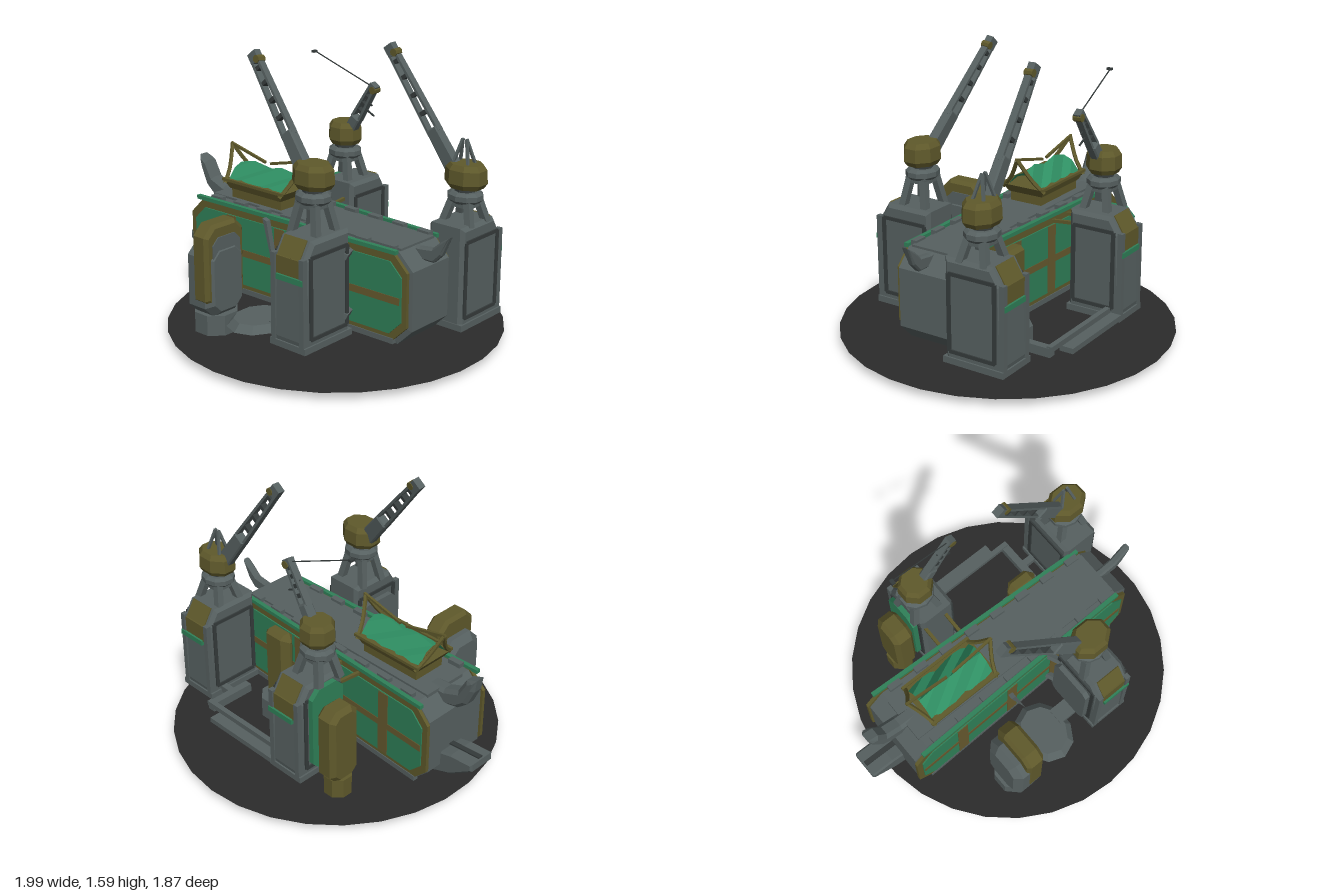
import * as THREE from 'three';

const mat = (name, color) => Object.assign(new THREE.MeshStandardMaterial({ color }), { name });
const gray = mat('hull gray', 0x566060);
const dark = mat('dark trim', 0x353b3b);
const green = mat('panel green', 0x2f8058);
const olive = mat('olive paint', 0x5f592b);
const brown = mat('brown stripe', 0x66592e);
const ground = mat('ground black', 0x2b2b2b);
const tarp = mat('tarp green', 0x2f8f63);
tarp.side = THREE.DoubleSide;
const UP = new THREE.Vector3(0, 1, 0);
const V = (a) => new THREE.Vector3(...a);

function add(parent, name, geo, material, pos = [0, 0, 0]) {
  const g = geo.index ? geo.toNonIndexed() : geo; // faceted shading
  g.computeVertexNormals();
  const m = new THREE.Mesh(g, material);
  m.name = name;
  m.position.set(...pos);
  parent.add(m);
  return m;
}
const box = (p, name, size, pos, m) => add(p, name, new THREE.BoxGeometry(...size), m, pos);

// Flat outline extruded along z, centred, with an optional bevel
function prism(points, depth, b = 0) {
  const s = new THREE.Shape(points.map((q) => new THREE.Vector2(...q)));
  const g = new THREE.ExtrudeGeometry(s, {
    depth: depth - 2 * b, bevelEnabled: b > 0, bevelSize: b, bevelThickness: b, bevelOffset: -b, bevelSegments: 1,
  });
  return g.translate(0, 0, -depth / 2 + b);
}
// Rectangle with cut corners
const octagon = (x0, x1, y0, y1, c) => [[x0 + c, y0], [x1 - c, y0], [x1, y0 + c], [x1, y1 - c],
  [x1 - c, y1], [x0 + c, y1], [x0, y1 - c], [x0, y0 + c]];

function beam(p, name, a, b, w, d, m) {
  const A = V(a), B = V(b), dir = B.clone().sub(A);
  const mesh = box(p, name, [w, dir.length(), d], A.clone().add(B).multiplyScalar(0.5).toArray(), m);
  mesh.quaternion.setFromUnitVectors(UP, dir.normalize());
  return mesh;
}
const lathe = (pts, n) => new THREE.LatheGeometry(pts.map((q) => new THREE.Vector2(...q)), n);

// Crane jib: solid root, open ladder of rails and rungs, pulley at the tip
function jib(parent, a, b, w) {
  const g = new THREE.Group(), dir = V(b).sub(V(a)), L = dir.length();
  g.name = 'craneArm';
  g.position.set(...a);
  g.quaternion.setFromUnitVectors(UP, dir.normalize());
  const half = (t) => w * (0.5 - 0.22 * t);
  add(g, 'armRoot', prism([[-half(0), -0.05], [half(0), -0.05], [half(0.3), L * 0.32], [-half(0.3), L * 0.32]], 0.055, 0.008), gray);
  for (const s of [-1, 1]) beam(g, 'armRail', [s * half(0.3) * 0.85, L * 0.28, 0], [s * half(1) * 0.8, L, 0], 0.015, 0.04, gray);
  for (const t of [0.45, 0.6, 0.75, 0.88]) box(g, 'armRung', [half(t) * 1.7, 0.022, 0.036], [0, L * t, 0], dark);
  box(g, 'armTip', [w * 0.65, L * 0.09, 0.042], [0, L * 0.97, 0], gray);
  add(g, 'pulley', new THREE.CylinderGeometry(0.022, 0.022, 0.05, 8).rotateX(Math.PI / 2), olive, [w * 0.2, L * 0.94, 0]);
  parent.add(g);
}

// Tower with cut outer shoulder, splayed legs, turntable, cab and jib; s is the outward z side
function tower(root, { x, w, z0, z1, top, cab, cabY, s, tip, armBase, armW }) {
  const g = new THREE.Group();
  g.name = 'craneTower';
  const side = [[z0, 0.14], [z1 - 0.01, 0.14], [z1, 0.19], [z1 - 0.015, top - 0.09], [z1 - 0.07, top], [z0, top]];
  const pts = side.map(([z, y]) => [s * z, y]);
  if (s < 0) pts.reverse();
  add(g, 'towerBody', prism(pts, w, 0.02).rotateY(-Math.PI / 2), gray, [x, 0, 0]);
  const mid = (z0 + z1) / 2, d = z1 - z0;
  // raised frames on both flanks and on the outer face
  for (const k of [-1, 1]) {
    const fx = x + k * w / 2;
    for (const e of [z0 + 0.03, z1 - 0.05]) box(g, 'flankFrame', [0.016, top - 0.28, 0.022], [fx, top / 2 + 0.06, s * e], dark);
    for (const y of [0.2, top - 0.08]) box(g, 'flankFrame', [0.016, 0.02, d - 0.08], [fx, y, s * (mid - 0.01)], dark);
    box(g, 'cornerPost', [0.03, top - 0.22, 0.03], [x + k * (w / 2 - 0.015), top / 2 + 0.03, s * (z1 - 0.01)], gray);
  }
  box(g, 'skirt', [w + 0.02, 0.035, d + 0.01], [x, 0.15, s * mid], gray);
  const patch = box(g, 'shoulderPatch', [w * 0.68, 0.11, 0.008], [x, top - 0.045, s * (z1 - 0.04)], olive);
  patch.rotation.x = -s * 0.56;
  box(g, 'facePatch', [w * 0.68, 0.1, 0.009], [x, top - 0.14, s * (z1 - 0.004)], olive);
  box(g, 'faceStripe', [w * 0.8, 0.03, 0.02], [x + 0.02, top - 0.2, s * (z1 + 0.002)], green);
  // splayed legs and turntable
  const [cx, cz] = cab, ringY = cabY - 0.115;
  for (const i of [-1, 1]) for (const j of [-1, 1]) {
    beam(g, 'leg', [cx + i * 0.085, top - 0.02, cz + j * 0.075], [cx + i * 0.045, ringY, cz + j * 0.04], 0.038, 0.038, gray);
  }
  box(g, 'legCrown', [0.14, 0.03, 0.13], [cx, ringY - 0.035, cz], gray);
  const ring = add(g, 'turntable', lathe([[0, -0.03], [0.08, -0.03], [0.1, -0.012], [0.1, 0.015], [0.08, 0.03], [0, 0.03]], 10), gray, [cx, ringY, cz]);
  ring.scale.z = 0.9;
  add(g, 'neck', new THREE.CylinderGeometry(0.055, 0.06, 0.06, 8), dark, [cx, cabY - 0.07, cz]);
  const head = add(g, 'cab', lathe([[0, -0.062], [0.1, -0.062], [0.122, -0.035], [0.118, 0.035], [0.095, 0.062], [0, 0.062]], 8).rotateY(Math.PI / 8), olive, [cx, cabY, cz]);
  head.scale.set(cx < 0 ? 0.82 : 1, 1.05, 0.8);
  jib(g, armBase, tip, armW);
  root.add(g);
}

// Upright olive pod on a foot
function pod(root, x, z, w, d, y0, y1, footY, footMat, lean = 0) {
  const g = new THREE.Group();
  g.name = 'sidePod';
  const body = add(g, 'podBody', prism(octagon(-d / 2, d / 2, y0, y1, d * 0.24), w, w * 0.2).rotateY(-Math.PI / 2), olive);
  body.rotation.x = lean;
  add(g, 'podFoot', new THREE.CylinderGeometry(w * 0.62, w * 0.62, y0 - footY + 0.03, 8).rotateY(Math.PI / 8), footMat, [0, (y0 + footY) / 2, 0]);
  g.position.set(x, 0, z);
  root.add(g);
  return g;
}

export function createModel() {
  const root = new THREE.Group();
  root.name = 'craneBarge';

  // Ground disc
  add(root, 'groundDisc', new THREE.CylinderGeometry(0.935, 0.86, 0.022, 30), ground, [0.065, 0.029, -0.007]);

  // Hull, narrowing toward the right-hand end
  const hullGeo = prism(octagon(-0.79, 0.76, 0.13, 0.635, 0.09), 2, 0.05);
  const p = hullGeo.attributes.position;
  for (let i = 0; i < p.count; i++) {
    const x = p.getX(i), f = 0.222 - 0.022 * x, b = -0.146 + 0.047 * x;
    p.setZ(i, (f + b) / 2 + p.getZ(i) * (f - b) / 2);
  }
  add(root, 'hull', hullGeo, gray);
  const deck = box(root, 'deck', [1.38, 0.02, 0.27], [-0.02, 0.637, 0.038], gray);
  deck.rotation.y = -0.012;

  // Painted side panels with trims
  for (const s of [1, -1]) {
    const g = new THREE.Group();
    g.name = s > 0 ? 'frontPanels' : 'backPanels';
    g.position.z = s > 0 ? 0.228 : -0.152;
    g.rotation.y = s > 0 ? 0.022 : -0.047;
    add(g, 'panelFrame', prism(octagon(-0.8, 0.74, 0.15, 0.63, 0.09), 0.02), olive);
    add(g, 'sidePanel', prism(octagon(-0.765, 0.71, 0.19, 0.585, 0.075), 0.026), green, [0, 0, s * 0.004]);
    box(g, 'longStripe', [1.46, 0.04, 0.004], [-0.03, 0.38, s * 0.018], brown);
    for (const x of [-0.48, -0.12, 0.2]) box(g, 'uprightStripe', [0.07, 0.39, 0.004], [x, 0.388, s * 0.0185], brown);
    box(g, 'topRail', [1.42, 0.022, 0.025], [-0.04, 0.637, s * 0.005], green);
    box(g, 'bottomRail', [1.38, 0.03, 0.03], [-0.03, 0.15, 0], gray);
    for (let i = 0; i < 8; i++) box(g, 'deckCleat', [0.08, 0.03, 0.035], [-0.62 + i * 0.175, 0.645, -s * 0.025], gray);
    root.add(g);
  }

  // Curved horns at both ends and the forked prow
  add(root, 'leftHorn', prism([[-0.62, 0.645], [-0.74, 0.655], [-0.83, 0.69], [-0.88, 0.78], [-0.945, 0.805],
    [-0.935, 0.73], [-0.89, 0.63], [-0.83, 0.58], [-0.74, 0.56]], 0.09, 0.02), gray, [0, 0, 0.02]);
  add(root, 'rightHorn', prism([[0.58, 0.64], [0.69, 0.57], [0.79, 0.57], [0.84, 0.62], [0.885, 0.725],
    [0.83, 0.69], [0.78, 0.645], [0.7, 0.635]], 0.045, 0.01), gray, [0, 0, 0.055]);
  add(root, 'prow', prism([[-1, 0.33], [-1, 0.285], [-0.86, 0.19], [-0.6, 0.1], [-0.7, 0.28], [-0.86, 0.32]], 0.17, 0.01), gray, [0, 0, 0.01]);
  box(root, 'prowGroove', [0.2, 0.008, 0.03], [-0.89, 0.326, 0.01], dark).rotation.z = -0.08;

  // Deck shelter: plinth, flared tray, tarp and A-frame
  const shelter = new THREE.Group();
  shelter.name = 'deckShelter';
  shelter.position.set(-0.39, 0, 0.048);
  box(shelter, 'plinth', [0.38, 0.08, 0.2], [0, 0.68, 0], olive);
  const tray = add(shelter, 'tray', new THREE.CylinderGeometry(0.707, 0.6, 0.05, 4).rotateY(Math.PI / 4), olive, [0, 0.725, 0]);
  tray.scale.set(0.46, 1, 0.26);
  const cover = new THREE.PlaneGeometry(0.42, 0.22, 4, 4).rotateX(-Math.PI / 2);
  const cp = cover.attributes.position;
  for (let i = 0; i < cp.count; i++) {
    const k = Math.abs(cp.getZ(i)) / 0.11;
    cp.setY(i, 0.84 - 0.09 * k + (i % 2 ? 0.012 : -0.012));
  }
  add(shelter, 'tarp', cover, tarp);
  for (const e of [-1, 1]) {
    const pts = (s) => [V([e * 0.21, 0.73, s * 0.135]), V([e * 0.235, 0.8, s * 0.07]), V([e * 0.28, 0.92, 0])];
    for (const s of [-1, 1]) add(shelter, 'framePost', new THREE.TubeGeometry(new THREE.CatmullRomCurve3(pts(s)), 5, 0.012, 5), olive);
    for (const s of [-1, 1]) beam(shelter, 'trayRail', [-0.23, 0.752, s * 0.13], [0.23, 0.752, s * 0.13], 0.016, 0.016, olive);
    beam(shelter, 'ridge', [e * 0.29, 0.925, 0], [e * 0.02, 0.86, 0], 0.014, 0.014, olive);
  }
  root.add(shelter);

  // Three crane towers
  tower(root, { x: 0.295, w: 0.225, z0: 0.27, z1: 0.625, top: 0.72, cab: [0.275, 0.405], cabY: 1.01, s: 1,
    armBase: [0.2, 1.02, 0.39], tip: [-0.235, 1.54, 0.3], armW: 0.095 });
  tower(root, { x: 0.71, w: 0.225, z0: 0.135, z1: 0.49, top: 0.7, cab: [0.715, -0.295], cabY: 0.94, s: -1,
    armBase: [0.64, 0.97, -0.285], tip: [0.215, 1.555, -0.27], armW: 0.09 });
  tower(root, { x: -0.19, w: 0.22, z0: 0.31, z1: 0.635, top: 0.715, cab: [-0.235, -0.43], cabY: 0.975, s: -1,
    armBase: [-0.19, 0.99, -0.42], tip: [0, 1.285, -0.405], armW: 0.07 });

  // Cab masts on the right-hand crane, hoist line and barbs on the rear one
  for (const z of [-0.33, -0.26]) for (const e of [-1, 1]) beam(root, 'cabMast', [0.7 + e * 0.05, 0.99, z], [0.7 + e * 0.012, 1.13, -0.295], 0.014, 0.014, gray);
  beam(root, 'hoistLine', [0, 1.27, -0.405], [-0.4, 1.43, -0.36], 0.005, 0.005, dark);
  box(root, 'hook', [0.02, 0.012, 0.03], [-0.405, 1.43, -0.355], dark);
  for (const [y, k] of [[1.15, 0.06], [1.2, 0.05]]) beam(root, 'armBarb', [-0.09, y, -0.41], [-0.09 + k * 1.4, y - k * 0.7, -0.41], 0.008, 0.008, dark);

  // Upright pods beside the hull
  const frontPod = pod(root, -0.33, 0.53, 0.2, 0.28, 0.14, 0.56, 0.01, gray);
  frontPod.children[0].material = gray;
  add(frontPod, 'podShield', prism(octagon(-0.14, 0.145, 0.19, 0.67, 0.06), 0.115, 0.02).rotateY(-Math.PI / 2), olive, [0.03, 0, 0]);
  add(frontPod, 'podPlate', prism(octagon(-0.1, 0.1, 0.24, 0.6, 0.04), 0.008).rotateY(-Math.PI / 2), gray, [0.09, 0, 0]);
  pod(root, -0.4, -0.45, 0.13, 0.2, 0.14, 0.6, 0.01, olive);
  pod(root, 0.32, -0.2, 0.19, 0.09, 0.15, 0.6, 0.05, gray);
  add(root, 'rearTowerPanel', prism(octagon(-0.57, -0.35, 0.19, 0.7, 0.05), 0.03).rotateY(-Math.PI / 2), green, [-0.325, 0, 0]);

  // Low platform, slanting strut and walkways that tie the towers together
  const pad = add(root, 'landing', new THREE.CylinderGeometry(0.15, 0.19, 0.04, 10), gray, [-0.06, 0.15, 0.47]);
  pad.scale.x = 0.85;
  box(root, 'landingLink', [0.16, 0.03, 0.1], [0.12, 0.16, 0.45], gray);
  add(root, 'slantStrut', prism([[-0.18, 0.65], [-0.075, 0.27], [-0.15, 0.64]], 0.03), gray, [0, 0, 0.3]);
  box(root, 'rearWalkway', [0.5, 0.03, 0.08], [0.17, 0.16, -0.605], gray);
  beam(root, 'rearPipe', [-0.08, 0.19, -0.565], [0.52, 0.19, -0.565], 0.03, 0.03, gray);
  box(root, 'walkwayTurn', [0.045, 0.05, 0.28], [0.5, 0.17, -0.43], gray);
  box(root, 'walkwayTie', [0.14, 0.04, 0.04], [0.56, 0.17, -0.4], gray);
  for (const x of [-0.28, -0.14]) beam(root, 'rearTie', [x, 0.62, -0.34], [x, 0.6, -0.14], 0.018, 0.018, olive);
  for (const y of [0.25, 0.58]) for (const x of [0.14, 0.36]) beam(root, 'frontTie', [x, y, 0.2], [x + 0.05, y, 0.32], 0.03, 0.03, gray);
  add(root, 'sideLadder', prism(octagon(0.3, 0.56, 0.2, 0.6, 0.03), 0.03).rotateY(-Math.PI / 2), gray, [0.16, 0, 0]);
  return root;
}
